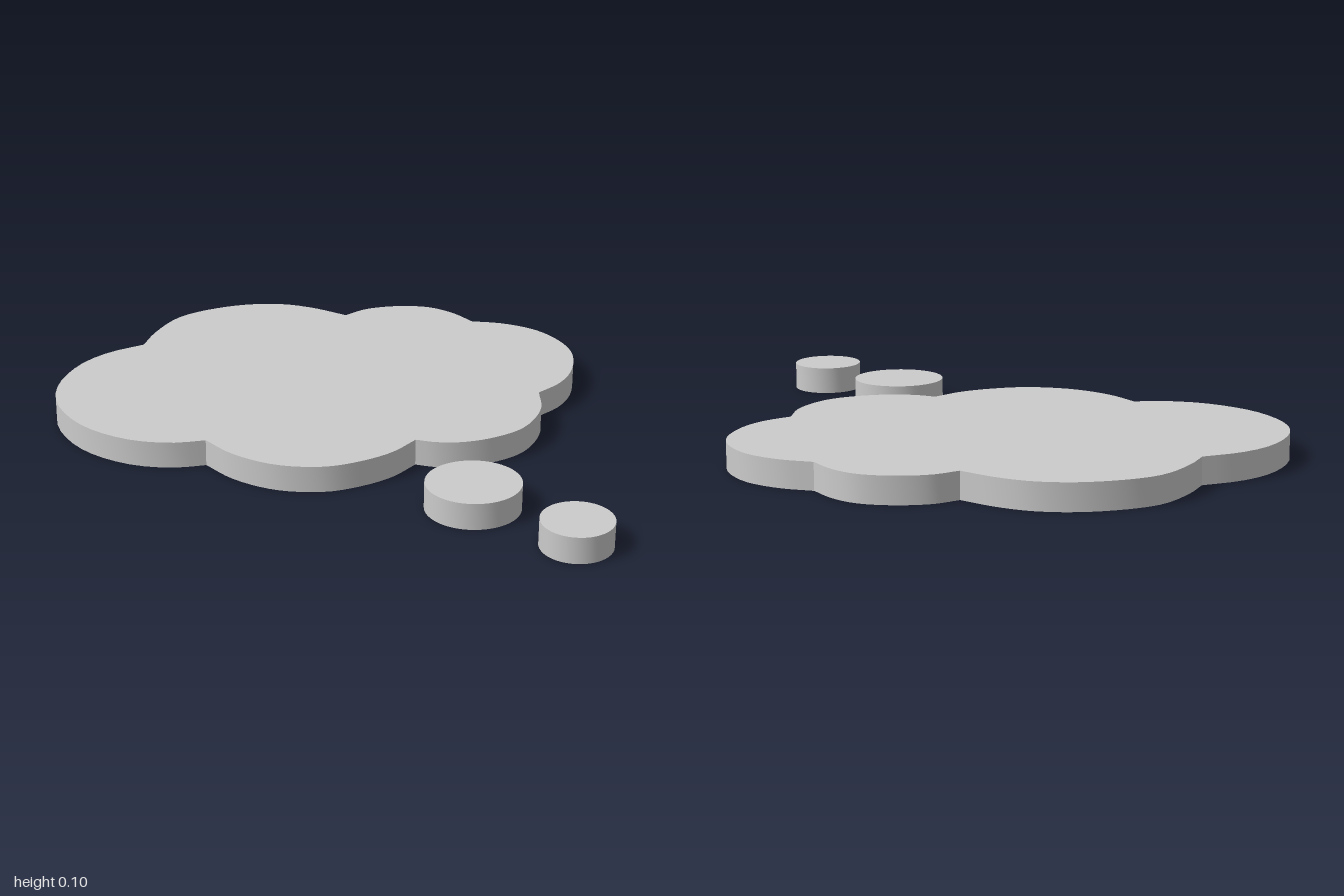
import * as THREE from 'three';
import { toCreasedNormals } from 'three/addons/utils/BufferGeometryUtils.js';

const HEIGHT = 0.1;

// Each lobe is a smooth curve [x, z]; lobes meet at sharp notches.
const LOBES = [
  [[-0.65, -0.67], [-0.6, -0.78], [-0.49, -0.92], [-0.28, -1], [-0.1, -1], [0.03, -0.95], [0.16, -0.86]],
  [[0.16, -0.86], [0.25, -0.91], [0.38, -0.925], [0.5, -0.9], [0.585, -0.836], [0.65, -0.745]],
  [[0.65, -0.745], [0.77, -0.71], [0.89, -0.63], [0.966, -0.503], [0.982, -0.397], [0.945, -0.249], [0.88, -0.153], [0.79, -0.085]],
  [[0.79, -0.085], [0.77, 0.053], [0.68, 0.192], [0.56, 0.257], [0.44, 0.28], [0.35, 0.27], [0.28, 0.243]],
  [[0.28, 0.243], [0.177, 0.333], [0.03, 0.395], [-0.077, 0.41], [-0.235, 0.376], [-0.375, 0.28], [-0.463, 0.164]],
  [[-0.463, 0.164], [-0.58, 0.171], [-0.738, 0.127], [-0.897, 0], [-0.985, -0.185], [-0.982, -0.344], [-0.9, -0.513], [-0.79, -0.61], [-0.65, -0.67]],
];

const material = new THREE.MeshStandardMaterial({ color: 0xcccccc });

// Flat slab lying on the ground, extruded from a plan outline (shape y = -z)
function slab(name, shape) {
  const geometry = new THREE.ExtrudeGeometry(shape, { depth: HEIGHT, bevelEnabled: false, curveSegments: 24 });
  geometry.rotateX(-Math.PI / 2);
  const mesh = new THREE.Mesh(toCreasedNormals(geometry, 0.5), material);
  mesh.name = name;
  return mesh;
}

function bubble(name, x, z, rx, rz) {
  const shape = new THREE.Shape();
  shape.absellipse(x, -z, rx, rz, 0, Math.PI * 2);
  return slab(name, shape);
}

export function createModel() {
  const model = new THREE.Group();
  model.name = 'thoughtBubble';

  // Cloud outline
  const outline = [];
  for (const lobe of LOBES) {
    const curve = new THREE.CatmullRomCurve3(lobe.map(([x, z]) => new THREE.Vector3(x, -z, 0)), false, 'centripetal');
    for (const p of curve.getSpacedPoints(24).slice(0, -1)) outline.push(new THREE.Vector2(p.x, p.y));
  }
  model.add(slab('cloud', new THREE.Shape(outline)));

  // Trailing discs
  model.add(bubble('largeDisc', 0.432, 0.578, 0.17, 0.158));
  model.add(bubble('smallDisc', 0.733, 0.875, 0.128, 0.125));
  return model;
}
